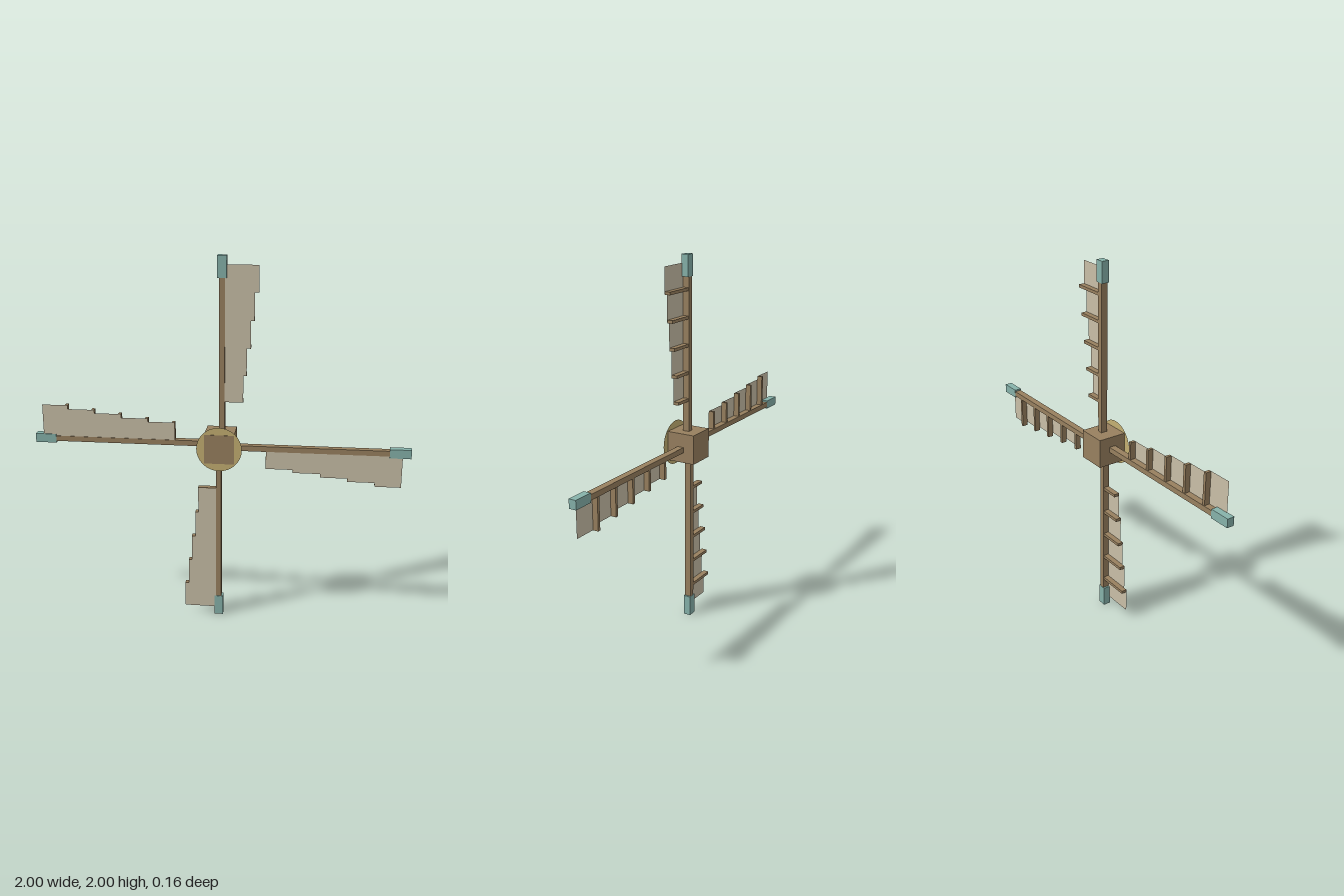
import * as THREE from 'three';

export function createModel() {
  const mat = (name, color, side = THREE.FrontSide) => {
    const m = new THREE.MeshStandardMaterial({ color, side });
    m.name = name;
    return m;
  };
  const wood = mat('brown wood', 0x98805f);
  const canvas = mat('pale canvas', 0xc9bfa7, THREE.DoubleSide);
  const brass = mat('dull gold', 0xc4af72, THREE.DoubleSide);
  const teal = mat('teal cap', 0x86b2aa);

  const add = (parent, name, geometry, material, x, y, z) => {
    const mesh = new THREE.Mesh(geometry, material);
    mesh.name = name;
    mesh.position.set(x, y, z);
    parent.add(mesh);
  };

  const model = new THREE.Group();
  model.name = 'windmillSails';
  const rotor = new THREE.Group();
  rotor.name = 'rotor';
  rotor.position.y = 1;
  model.add(rotor);

  // Hub block with a thin disc just behind its front face
  add(rotor, 'hub', new THREE.BoxGeometry(0.158, 0.158, 0.16), wood, 0, 0, 0);
  add(rotor, 'hubDisc', new THREE.CircleGeometry(0.12, 32), brass, 0, 0, 0.078);

  // Four identical arms, each shifted a little towards its sail side
  const offset = 0.009;
  const inner = 0.02; // sail edge next to the beam
  const reach = [0.12, 0.137, 0.157, 0.175, 0.196];
  const pitch = 0.144;
  for (let k = 0; k < 4; k++) {
    const arm = new THREE.Group();
    arm.name = 'arm' + (k + 1);
    arm.rotation.z = -k * Math.PI / 2;
    rotor.add(arm);

    add(arm, 'beam', new THREE.BoxGeometry(0.029, 0.92, 0.037), wood, offset, 0.46, 0);
    add(arm, 'endCap', new THREE.BoxGeometry(0.048, 0.112, 0.04), teal, offset, 0.944, 0);

    // Battens with a canvas panel in front of each, widening outwards
    reach.forEach((end, i) => {
      const y = 0.25 + i * pitch;
      const width = end - inner;
      const height = i === 4 ? 0.135 : pitch;
      add(arm, 'batten', new THREE.BoxGeometry(width, 0.016, 0.03), wood, inner + width / 2, y, 0);
      add(arm, 'sailPanel', new THREE.PlaneGeometry(width, height), canvas,
        inner + width / 2, y - 0.005 + height / 2, 0.016);
    });
  }
  return model;
}
